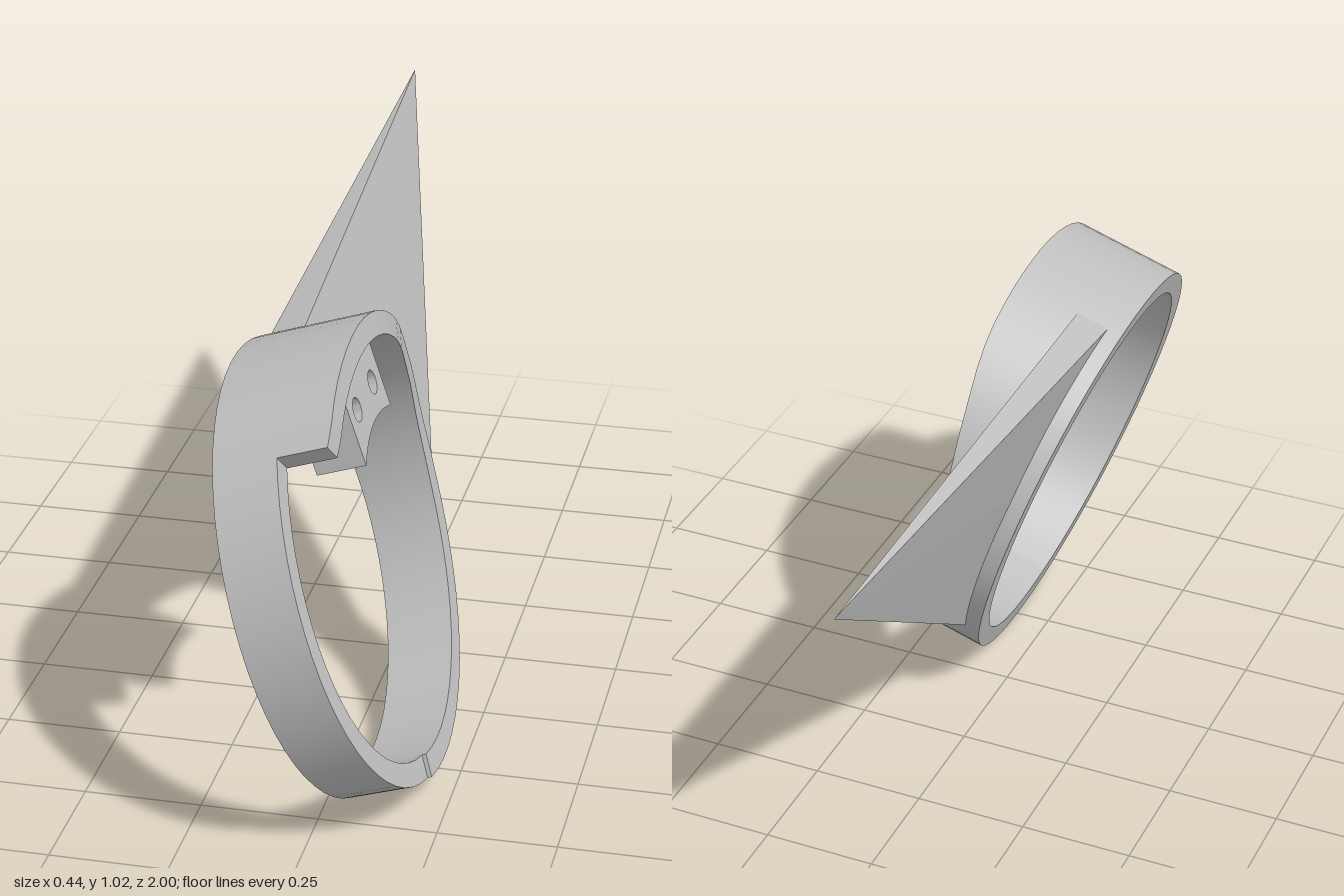
import * as THREE from 'three';
import { toCreasedNormals } from 'three/addons/utils/BufferGeometryUtils.js';

const R_OUT = 0.485, R_IN = 0.435;
const rad = THREE.MathUtils.degToRad;

// Local frame: x along the ring axis, angle 0 at the top, growing towards the back
const onRing = (x, r, deg) => [x, r * Math.cos(rad(deg)), -r * Math.sin(rad(deg))];

// Non-indexed geometry from a list of polygons (each a fan of corners)
function fromPolygons(polys) {
  const pos = [];
  for (const p of polys)
    for (let i = 1; i < p.length - 1; i++) pos.push(...p[0], ...p[i], ...p[i + 1]);
  const g = new THREE.BufferGeometry();
  g.setAttribute('position', new THREE.Float32BufferAttribute(pos, 3));
  g.computeVertexNormals();
  return g;
}

// Rim width of the wide arc, eased between a few angles
const WIDTHS = [[-40, 0.243], [-33, 0.252], [0, 0.264], [33, 0.2525], [58, 0.209],
  [83, 0.168], [117, 0.15], [194, 0.146]];
const rimCurve = new THREE.SplineCurve(WIDTHS.map(([a, w]) => new THREE.Vector2(a, w)));
const rimPoints = rimCurve.getPoints(210);
function wideRim(deg) {
  const i = rimPoints.findIndex((p) => p.x >= deg);
  if (i <= 0) return i === 0 ? rimPoints[0].y : 0.146;
  const a = rimPoints[i - 1], b = rimPoints[i];
  return THREE.MathUtils.mapLinear(deg, a.x, b.x, a.y, b.y);
}

// Rectangular section swept round part of the ring, with closed ends
function ringArc(from, to, steps, width) {
  const rows = [];
  for (let i = 0; i <= steps; i++) {
    const a = from + (to - from) * i / steps, w = width(a);
    rows.push([onRing(0, R_OUT, a), onRing(w, R_OUT, a), onRing(w, R_IN, a), onRing(0, R_IN, a)]);
  }
  const polys = [[...rows[0]].reverse(), rows[steps]];
  for (let i = 0; i < steps; i++)
    for (let k = 0; k < 4; k++) {
      const n = (k + 1) % 4;
      polys.push([rows[i][k], rows[i][n], rows[i + 1][n], rows[i + 1][k]]);
    }
  return toCreasedNormals(fromPolygons(polys), rad(30));
}

// Block with a curved underside and two through holes
function blockGeometry() {
  const front = -0.145, back = 0.105, low = 0.29, high = 0.455;
  const ang = (x, r) => Math.acos(x / r);
  const s = new THREE.Shape();
  s.absarc(0, 0, low, ang(front, low), ang(back, low), true);
  s.absarc(0, 0, high, ang(back, high), ang(front, high), false);
  s.closePath();
  for (const x of [-0.09, 0.045]) {
    const hole = new THREE.Path();
    hole.absarc(x, 0.35, 0.025, 0, Math.PI * 2, true);
    s.holes.push(hole);
  }
  const g = new THREE.ExtrudeGeometry(s, { depth: 0.106, bevelEnabled: false, curveSegments: 16 });
  g.rotateY(Math.PI / 2).translate(0.138, 0, 0);
  return toCreasedNormals(g, rad(30));
}

// Long pyramid rising from a narrow band at the back of the ring
function spikeGeometry() {
  const tip = [0.0725, 0.559, -1.515];
  const angles = [17, 69, 121];
  const l = angles.map((a) => onRing(0.035, R_OUT, a));
  const r = angles.map((a) => onRing(0.11, R_OUT, a));
  const polys = [[tip, l[0], r[0]], [tip, r[2], l[2]]];
  for (let i = 0; i < 2; i++) {
    polys.push([tip, r[i], r[i + 1]], [tip, l[i + 1], l[i]], [l[i], l[i + 1], r[i + 1], r[i]]);
  }
  return fromPolygons(polys);
}

export function createModel() {
  const grey = new THREE.MeshStandardMaterial({ color: 0xbfbfbf });
  grey.name = 'light grey';

  const tilted = new THREE.Group();
  tilted.name = 'tiltedRing';
  const add = (name, geometry) => {
    const m = new THREE.Mesh(geometry, grey);
    m.name = name;
    tilted.add(m);
  };
  add('wideBand', ringArc(-40, 194, 39, wideRim));
  add('narrowBand', ringArc(194, 320, 21, () => 0.137));
  add('drilledBlock', blockGeometry());
  add('spike', spikeGeometry());
  tilted.rotation.z = rad(18);
  tilted.position.set(-0.07, 0.461, 0.515);

  const model = new THREE.Group();
  model.name = 'spikedRing';
  model.add(tilted);
  return model;
}
